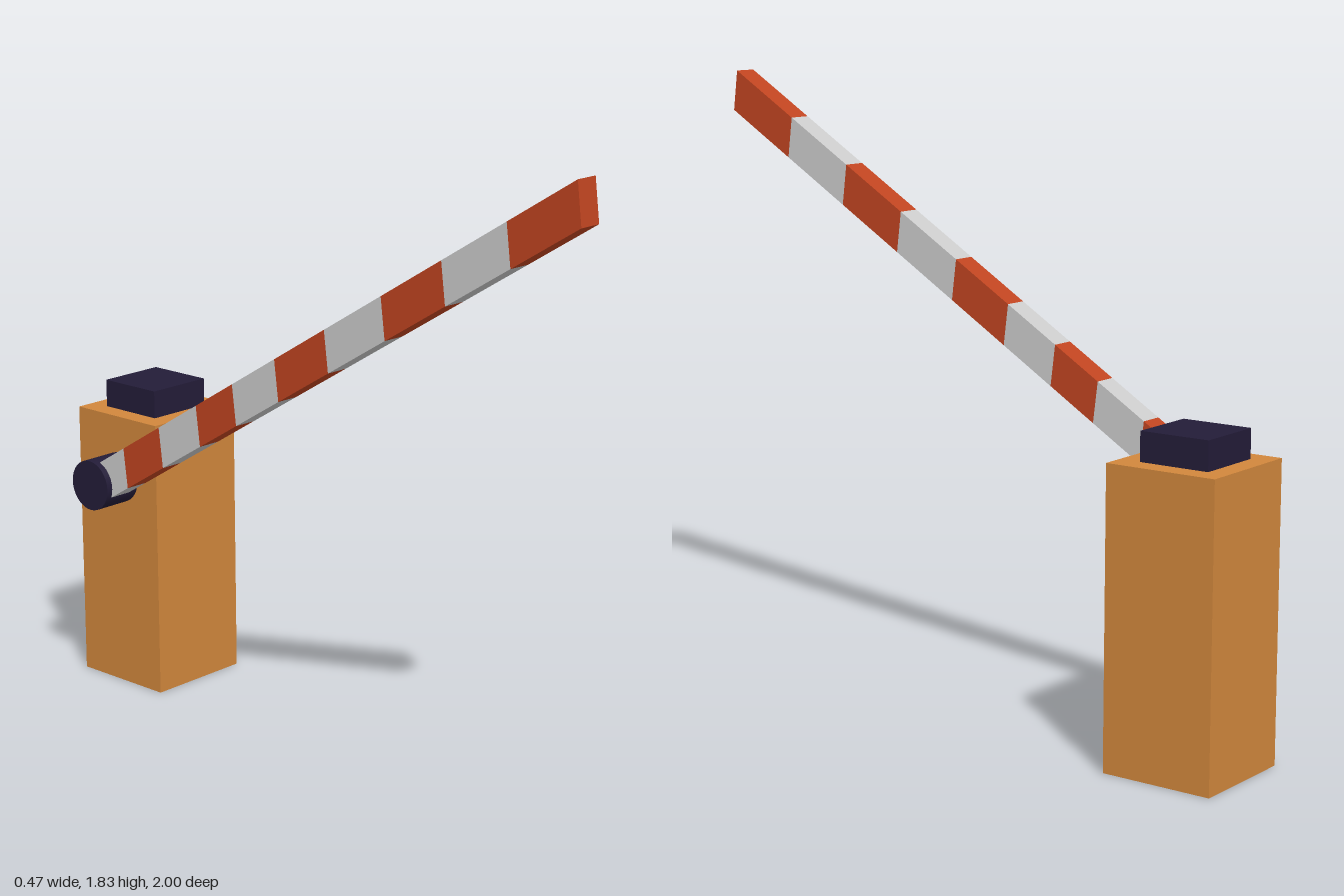
import * as THREE from 'three';

const paint = (color) => new THREE.MeshStandardMaterial({ color });

export function createModel() {
  const model = new THREE.Group();
  const orange = paint(0xd1873c);
  const navy = paint(0x231c38);
  const red = paint(0xc04420);
  const white = paint(0xcccccc);

  const add = (name, geometry, material, x, y, z, parent = model) => {
    const mesh = new THREE.Mesh(geometry, material);
    mesh.name = name;
    mesh.position.set(x, y, z);
    parent.add(mesh);
    return mesh;
  };

  // Cabinet with the lamp block on top
  add('cabinet', new THREE.BoxGeometry(0.34, 0.865, 0.34), orange, 0.06, 0.4325, -0.83);
  add('lamp', new THREE.BoxGeometry(0.214, 0.085, 0.214), navy, 0.058, 0.9075, -0.832);

  // Pivot drum on the side of the cabinet
  const drum = new THREE.CylinderGeometry(0.078, 0.078, 0.125, 32).rotateZ(Math.PI / 2);
  add('pivot', drum, navy, -0.1725, 0.672, -0.822);

  // Raised arm: sheared boxes in alternating colours, growing longer toward the tip
  const arm = new THREE.Group();
  arm.name = 'arm';
  model.add(arm);
  const slope = 0.61;
  const stops = [-0.8, -0.69, -0.535, -0.377, -0.228, -0.06, 0.13, 0.337, 0.547, 0.763, 0.985];
  for (let i = 0; i < stops.length - 1; i++) {
    const geometry = new THREE.BoxGeometry(0.074, 1, 1);
    const p = geometry.attributes.position;
    for (let v = 0; v < p.count; v++) {
      const top = p.getY(v) > 0;
      const z = p.getZ(v) > 0 ? stops[i + 1] : stops[i];
      p.setY(v, 1.833 + (z - 0.985) * slope - (top ? 0 : 0.122));
      p.setZ(v, z + (top ? 0 : 0.015));
    }
    const flat = geometry.toNonIndexed();
    flat.computeVertexNormals();
    add(i % 2 ? 'redStripe' : 'whiteStripe', flat, i % 2 ? red : white, -0.178, 0, 0, arm);
  }

  return model;
}
